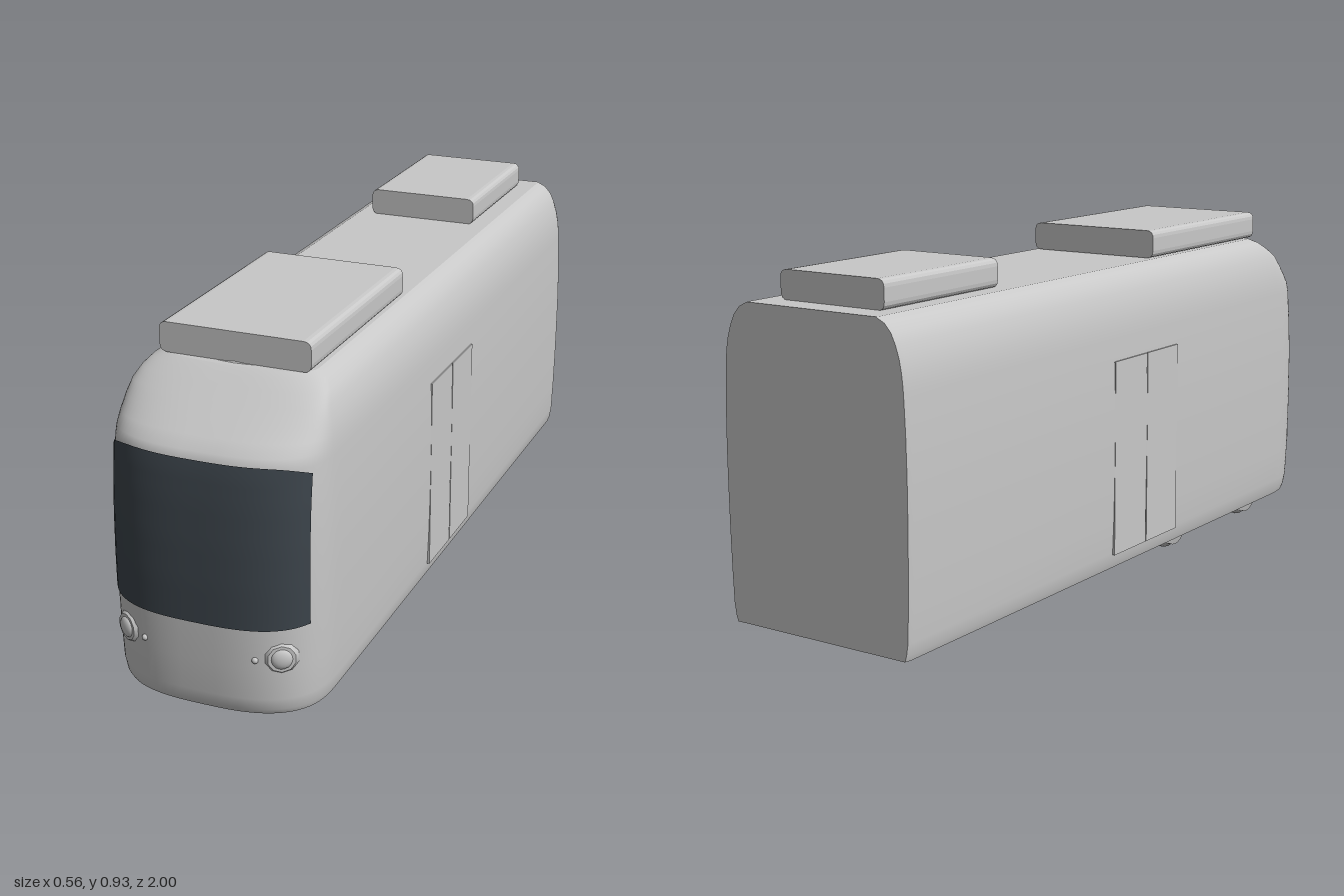
import * as THREE from 'three';

const N = 2.8; // squareness of the rounded nose in plan
// height, half width, nose z
const PROFILE = [
  [0.07, 0.261, 0.982], [0.085, 0.266, 0.991], [0.115, 0.271, 0.996], [0.2, 0.274, 0.999],
  [0.3, 0.276, 1.0], [0.4, 0.277, 0.998], [0.5, 0.277, 0.993], [0.6, 0.275, 0.985],
  [0.69, 0.271, 0.974], [0.715, 0.269, 0.962], [0.74, 0.266, 0.932], [0.77, 0.26, 0.893],
  [0.8, 0.25, 0.855], [0.825, 0.238, 0.822], [0.845, 0.22, 0.797], [0.857, 0.195, 0.778],
];

// half width, nose z and start of the nose curve at height y
function section(y) {
  let i = 1;
  while (i < PROFILE.length - 1 && PROFILE[i][0] < y) i++;
  const a = PROFILE[i - 1], b = PROFILE[i];
  const t = THREE.MathUtils.clamp((y - a[0]) / (b[0] - a[0]), 0, 1);
  const w = a[1] + (b[1] - a[1]) * t, nose = a[2] + (b[2] - a[2]) * t;
  return { w, nose, start: Math.min(0.78, nose - 0.07) };
}

function noseZ(x, y, grow = 0) {
  const s = section(y);
  const r = Math.min(1, Math.abs(x) / (s.w + grow));
  return s.start + (s.nose + grow - s.start) * Math.pow(1 - Math.pow(r, N), 1 / N);
}

// open plan outline from the right rear corner, round the nose, to the left rear corner
function outline(y) {
  const { w, nose, start } = section(y);
  const pts = [[-w * 0.985, -1], [-w, -0.985], [-w, -0.3], [-w, 0.4]];
  const steps = 40;
  for (let i = 0; i <= steps; i++) {
    const a = (i / steps - 0.5) * Math.PI, s = Math.sin(a), c = Math.max(0, Math.cos(a));
    pts.push([w * Math.sign(s) * Math.pow(Math.abs(s), 2 / N), start + (nose - start) * Math.pow(c, 2 / N)]);
  }
  pts.push([w, 0.4], [w, -0.3], [w, -0.985], [w * 0.985, -1]);
  return pts;
}

// smooth surface through rows of points
function skin(rows) {
  const n = rows[0].length, index = [];
  for (let j = 0; j < rows.length - 1; j++) {
    for (let i = 0; i < n - 1; i++) {
      const a = j * n + i, b = a + 1, c = a + n, d = c + 1;
      index.push(a, b, d, a, d, c);
    }
  }
  const g = new THREE.BufferGeometry();
  g.setAttribute('position', new THREE.Float32BufferAttribute(rows.flat(2), 3));
  g.setIndex(index);
  g.computeVertexNormals();
  return g;
}

const flat = (pts) => new THREE.ShapeGeometry(new THREE.Shape(pts.map(([x, y]) => new THREE.Vector2(x, y))));

// bar along z with rounded long edges
function roofBox(w, h, length) {
  const r = 0.02, x = w / 2, s = new THREE.Shape();
  s.moveTo(-x + r, 0).lineTo(x - r, 0).quadraticCurveTo(x, 0, x, r)
    .lineTo(x, h - r).quadraticCurveTo(x, h, x - r, h)
    .lineTo(-x + r, h).quadraticCurveTo(-x, h, -x, h - r)
    .lineTo(-x, r).quadraticCurveTo(-x, 0, -x + r, 0);
  return new THREE.ExtrudeGeometry(s, { depth: length, bevelEnabled: false, curveSegments: 4 });
}

export function createModel() {
  const model = new THREE.Group();
  model.name = 'tram';
  const grey = new THREE.MeshStandardMaterial({ color: 0xc8c8c8 });
  grey.name = 'light grey';
  const glass = new THREE.MeshStandardMaterial({ color: 0x3c444b });
  glass.name = 'dark glass';

  function add(name, geometry, x = 0, y = 0, z = 0, material = grey) {
    const mesh = new THREE.Mesh(geometry, material);
    mesh.name = name;
    mesh.position.set(x, y, z);
    model.add(mesh);
    return mesh;
  }

  // body shell and its end faces
  add('bodyShell', skin(PROFILE.map(([y]) => outline(y).map(([x, z]) => [x, y, z]))));
  add('roof', flat(outline(0.857).map(([x, z]) => [x, -z])).rotateX(-Math.PI / 2), 0, 0.857, 0);
  add('floor', flat(outline(0.07)).rotateX(Math.PI / 2), 0, 0.07, 0);
  const side = PROFILE.map(([y, w]) => [w * 0.985, y]);
  const back = [...side, ...side.map(([x, y]) => [-x, y]).reverse()];
  add('rearWall', flat(back).rotateY(Math.PI), 0, 0, -1);

  // windscreen wrapped round the nose
  const rows = [];
  for (let j = 0; j <= 16; j++) {
    const row = [];
    for (let i = 0; i <= 40; i++) {
      const e = i / 20 - 1, x = 0.253 * e;
      const low = 0.3 + 0.005 * Math.pow(e, 6), high = 0.698 - 0.022 * Math.pow(e, 8);
      const y = low + (high - low) * j / 16;
      row.push([x, y, noseZ(x, y, 0.003)]);
    }
    rows.push(row);
  }
  add('windscreen', skin(rows), 0, 0, 0, glass);

  // roof equipment
  add('frontRoofBox', roofBox(0.388, 0.075, 0.58), 0, 0.858, 0.18);
  add('rearRoofBox', roofBox(0.31, 0.073, 0.435), -0.002, 0.856, -0.926);
  add('roofPad', new THREE.CylinderGeometry(0.17, 0.195, 0.016, 32).scale(1, 1, 0.78), 0, 0.858, 0.62);

  // wheels: tread with an inner flange
  const wheelProfile = [[0, -0.016], [0.07, -0.016], [0.068, -0.007], [0.06, -0.003], [0.058, 0.016], [0, 0.016]]
    .map(([r, h]) => new THREE.Vector2(r, h));
  const wheel = new THREE.LatheGeometry(wheelProfile, 24);
  add('bogiePlate', new THREE.BoxGeometry(0.34, 0.01, 0.46), 0, 0.069, 0.533);

  for (const s of [1, -1]) {
    const label = s > 0 ? 'left' : 'right';
    for (const [end, z] of [['Front', 0.75], ['Rear', 0.317]]) {
      add(label + end + 'Wheel', wheel, s * 0.182, 0.075, z).rotation.z = -s * Math.PI / 2;
    }

    // double door leaves
    for (const [leaf, z] of [['Front', 0.1], ['Rear', -0.061]]) {
      add(label + end(leaf), new THREE.BoxGeometry(0.008, 0.52, 0.157), s * 0.2735, 0.37, z);
    }

    // headlamp: ring and domed lens
    const lamp = new THREE.Group();
    lamp.name = label + 'Headlamp';
    lamp.position.set(s * 0.2, 0.227, noseZ(0.2, 0.227));
    lamp.rotation.y = s * 0.52;
    const ring = new THREE.Mesh(new THREE.CylinderGeometry(0.034, 0.043, 0.012, 10).rotateX(Math.PI / 2), grey);
    ring.name = 'lampRing';
    const lens = new THREE.Mesh(new THREE.SphereGeometry(0.026, 16, 10).scale(1, 1, 0.45), grey);
    lens.name = 'lampLens';
    lens.position.z = 0.004;
    lamp.add(ring, lens);
    model.add(lamp);

    // small indicator
    add(label + 'Indicator', new THREE.SphereGeometry(0.008, 12, 8), s * 0.143, 0.222, noseZ(0.143, 0.222));
  }
  return model;
}

function end(leaf) {
  return leaf + 'DoorLeaf';
}
